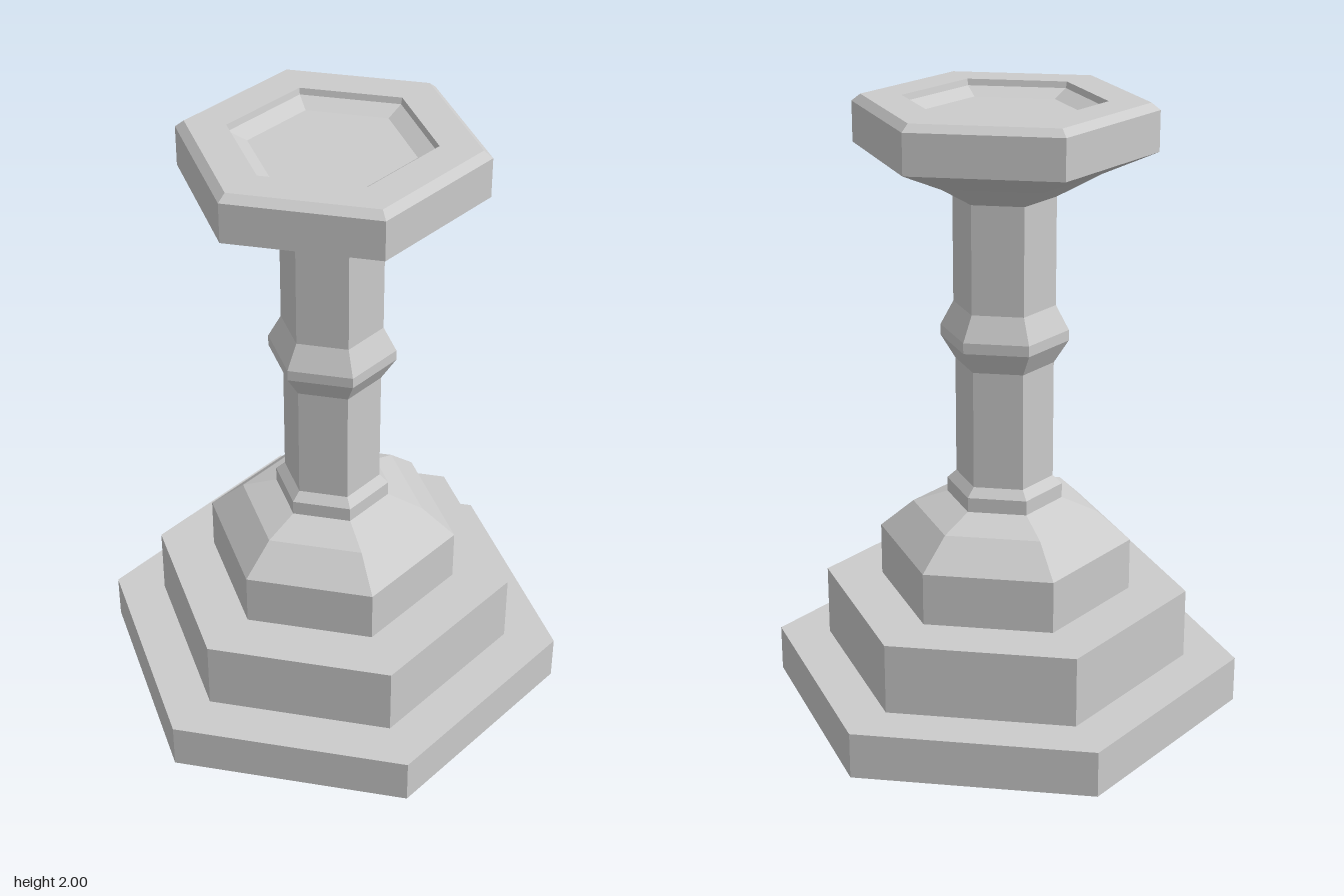
import * as THREE from 'three';

const material = new THREE.MeshStandardMaterial({ color: 0xcccccc, flatShading: true });

// Six-sided turned part from [radius, height] pairs, listed bottom to top; corners point along z
function hexPart(name, profile) {
  const points = profile.map(([r, y]) => new THREE.Vector2(r, y));
  const mesh = new THREE.Mesh(new THREE.LatheGeometry(points, 6), material);
  mesh.name = name;
  return mesh;
}

export function createModel() {
  const group = new THREE.Group();
  group.name = 'pedestal';

  // Stepped base
  group.add(hexPart('lowerStep', [[0, 0], [0.77, 0], [0.77, 0.153], [0.6, 0.153]]));
  group.add(hexPart('upperStep', [[0.6, 0.153], [0.6, 0.387], [0.413, 0.387]]));

  // Sloping shoulder above the steps
  group.add(hexPart('shoulder', [[0.413, 0.387], [0.413, 0.56], [0.303, 0.655], [0.188, 0.697]]));

  // Small collar at the foot of the shaft
  group.add(hexPart('collar', [[0.188, 0.697], [0.188, 0.745], [0.158, 0.773]]));

  // Shaft with a bulging ring part way up
  group.add(hexPart('lowerShaft', [[0.158, 0.773], [0.158, 1.16]]));
  group.add(hexPart('shaftRing', [[0.158, 1.16], [0.205, 1.235], [0.205, 1.27], [0.163, 1.35]]));
  group.add(hexPart('upperShaft', [[0.163, 1.35], [0.163, 1.7]]));

  // Flared head with a bevelled rim and a sunken panel on top
  group.add(hexPart('flare', [[0.163, 1.7], [0.3, 1.775], [0.474, 1.85]]));
  group.add(hexPart('topPlate', [
    [0.474, 1.85], [0.474, 1.978], [0.446, 2], [0.317, 2],
    [0.312, 1.98], [0.255, 1.955], [0, 1.955],
  ]));

  return group;
}
